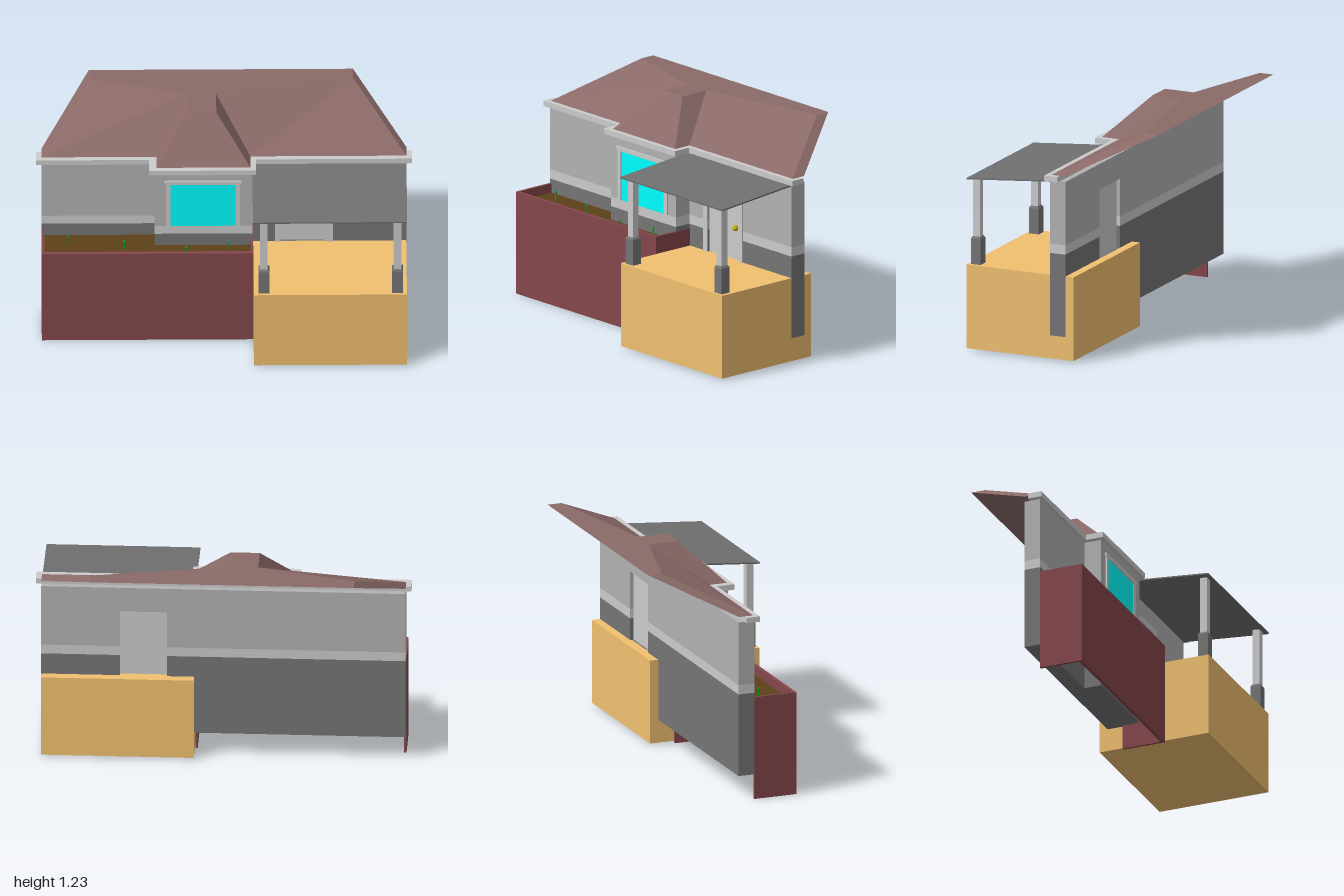
import * as THREE from 'three';

const material = (color) => new THREE.MeshStandardMaterial({ color, flatShading: true });
const mats = {
  trim: material(0xcccccc), wall: material(0xb2b2b2), stone: material(0x757575),
  roof: material(0x8a6a68), canopy: material(0x707070), brick: material(0x84474c),
  soil: material(0x5c4018), deck: material(0xf0c070), glass: material(0x00ffff),
  brass: material(0xc0b000), leaf: material(0x10a020),
};

export function createModel() {
  const house = new THREE.Group();
  house.name = 'house';

  const add = (name, geometry, mat) => {
    const mesh = new THREE.Mesh(geometry, mats[mat]);
    mesh.name = name;
    house.add(mesh);
    return mesh;
  };
  // Box given by its limits on each axis
  const box = (name, mat, x0, x1, y0, y1, z0, z1) => {
    const mesh = add(name, new THREE.BoxGeometry(x1 - x0, y1 - y0, z1 - z0), mat);
    mesh.position.set((x0 + x1) / 2, (y0 + y1) / 2, (z0 + z1) / 2);
    return mesh;
  };

  // Wall courses: stone, sill band and upper wall, with a door opening and a bay
  const back = -0.083, front = 0.008, bayFront = 0.104;
  const doorL = 0.3, doorR = 0.55, doorTop = 0.85, floor = 0.47;
  box('foundation', 'stone', -0.97, 0.97, 0.137, floor, back, front);
  box('wallOverDoor', 'wall', doorL, doorR, doorTop, 0.99, back, front);
  const courses = [
    ['stone', floor, 0.59], ['trim', 0.59, 0.642], ['wall', 0.642, 0.99],
  ];
  for (const [mat, y0, y1] of courses) {
    box('mainWall', mat, -0.97, doorL, y0, y1, back, front);
    box('mainWall', mat, doorR, 0.97, y0, y1, back, front);
    box('bayWall', mat, -0.37, 0.15, mat === 'stone' ? 0.137 : y0, y1, front, bayFront);
  }

  // Door with casing and knob
  box('door', 'trim', doorL, doorR, floor, doorTop, -0.062, -0.002);
  box('doorJamb', 'trim', doorL - 0.03, doorL, floor, doorTop, front, 0.016);
  box('doorJamb', 'trim', doorR, doorR + 0.03, floor, doorTop, front, 0.016);
  box('doorHeader', 'trim', doorL - 0.037, doorR + 0.037, doorTop, 0.878, front, 0.018);
  add('doorKnob', new THREE.SphereGeometry(0.017, 12, 8), 'brass').position.set(0.517, 0.647, 0.005);

  // Bay window
  box('windowGlass', 'glass', -0.285, 0.06, 0.642, 0.915, bayFront, 0.106);
  box('windowJamb', 'trim', -0.31, -0.285, 0.642, 0.915, bayFront, 0.111);
  box('windowJamb', 'trim', 0.06, 0.085, 0.642, 0.915, bayFront, 0.111);
  box('windowHeader', 'trim', -0.318, 0.093, 0.915, 0.938, bayFront, 0.113);

  // Eave trim slab following the wall outline
  const eaveOutline = [[-1, -0.05], [-1, 0.028], [-0.4, 0.028], [-0.4, 0.128],
    [0.17, 0.128], [0.17, 0.028], [1, 0.028], [1, -0.05]];
  const eaveShape = new THREE.Shape(eaveOutline.map(([x, z]) => new THREE.Vector2(x, -z)));
  const eave = new THREE.ExtrudeGeometry(eaveShape, { depth: 0.03, bevelEnabled: false });
  eave.rotateX(-Math.PI / 2);
  add('eaveTrim', eave, 'trim').position.y = 0.99;

  // Hipped roof lofted from the eave outline to a flat top that leans back
  const low = [[-0.97, -0.08], [-0.97, 0], [-0.36, 0], [-0.36, 0.1],
    [0.14, 0.1], [0.14, 0], [0.97, 0], [0.97, -0.08]];
  const high = [[-0.715, -0.5], [-0.715, -0.42], [-0.195, -0.28], [-0.195, -0.11],
    [-0.04, -0.11], [-0.04, -0.28], [0.69, -0.42], [0.69, -0.5]];
  const n = low.length;
  const points = [
    ...low.map(([x, z]) => [x, 1.02, z]), ...high.map(([x, z]) => [x, 1.23, z]),
  ];
  const index = [];
  for (let i = 0; i < n; i++) {
    const j = (i + 1) % n;
    index.push(i, j, n + j, i, n + j, n + i);
  }
  const cap = (ring) => THREE.ShapeUtils.triangulateShape(
    ring.map(([x, z]) => new THREE.Vector2(x, -z)), []);
  for (const [a, b, c] of cap(high)) index.push(n + a, n + b, n + c);
  for (const [a, b, c] of cap(low)) index.push(c, b, a);
  const loft = new THREE.BufferGeometry();
  loft.setAttribute('position', new THREE.Float32BufferAttribute(points.flat(), 3));
  loft.setIndex(index);
  const roof = loft.toNonIndexed();
  roof.computeVertexNormals();
  add('roof', roof, 'roof');

  // Porch deck, sloped canopy and two posts
  box('porchDeck', 'deck', 0.155, 0.969, 0.01, floor, -0.13, 0.5);
  const canopy = box('porchCanopy', 'canopy', 0.15, 0.97, 0.96, 0.968, -0.001, 0.501);
  canopy.rotation.x = Math.atan2(0.043, 0.5);
  for (const x of [0.208, 0.919]) {
    const z = 0.457, r = 0.029;
    box('postBase', 'stone', x - r, x + r, floor, 0.61, z - r, z + r);
    const bevel = new THREE.CylinderGeometry(0.022 * Math.SQRT2, r * Math.SQRT2, 0.012, 4);
    bevel.rotateY(Math.PI / 4);
    add('postBaseBevel', bevel, 'stone').position.set(x, 0.616, z);
    box('postShaft', 'trim', x - 0.02, x + 0.02, 0.62, 0.943, z - 0.02, z + 0.02);
  }

  // Planter: three thin walls, open below, with soil and sprouts
  box('planterFront', 'brick', -0.97, 0.155, 0, 0.565, 0.23, 0.25);
  box('planterSide', 'brick', -0.971, -0.957, 0, 0.565, front, 0.23);
  box('planterSide', 'brick', 0.141, 0.154, 0, 0.565, front, 0.23);
  box('soil', 'soil', -0.957, 0.141, 0.505, 0.515, front, 0.23);
  for (const [x, z] of [[-0.83, 0.09], [-0.53, 0.135], [-0.2, 0.195], [0.02, 0.15]]) {
    add('sproutStem', new THREE.CylinderGeometry(0.003, 0.003, 0.055, 6), 'leaf').position.set(x, 0.54, z);
    add('sproutTip', new THREE.SphereGeometry(0.007, 6, 4), 'leaf').position.set(x, 0.564, z);
  }

  return house;
}
